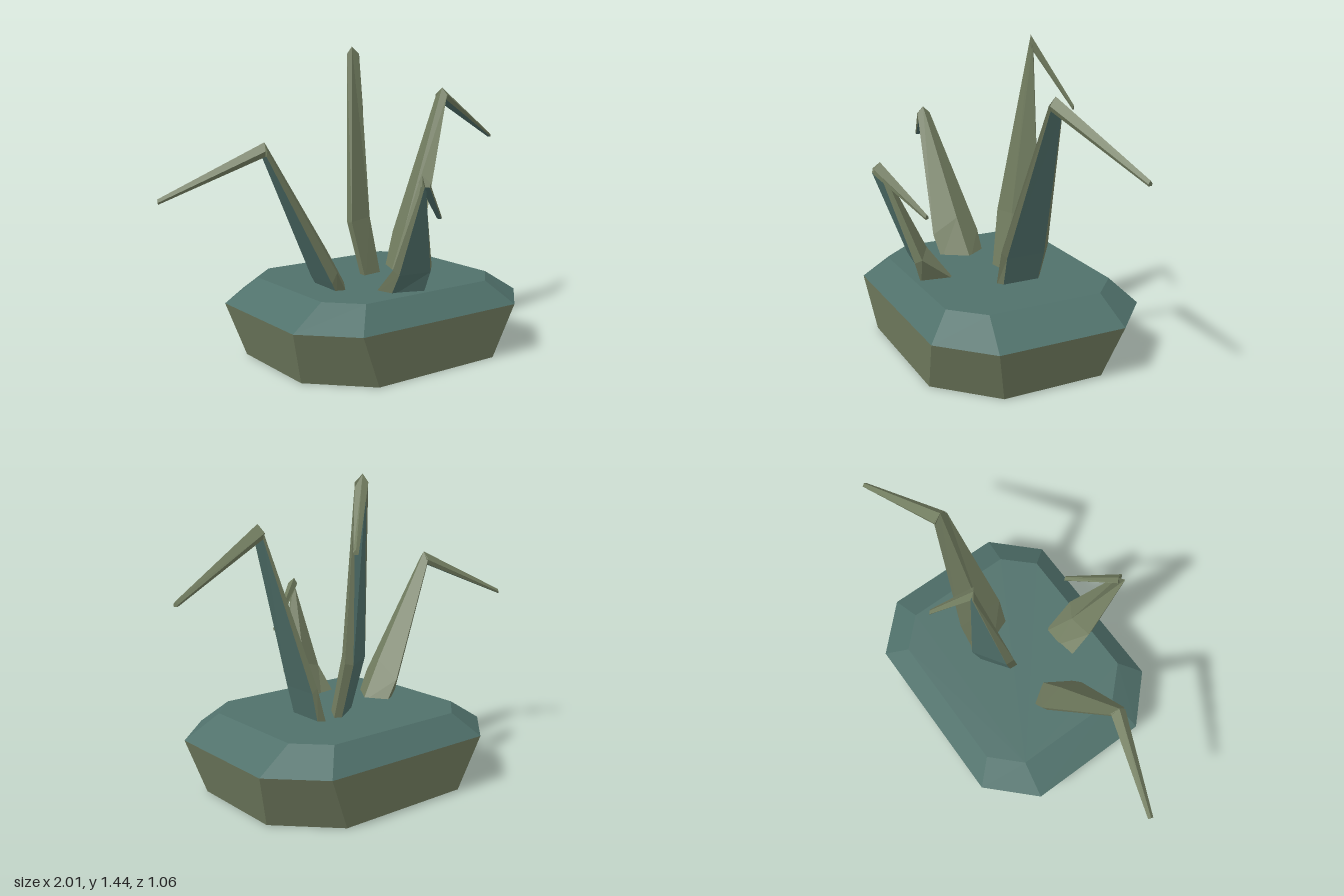
import * as THREE from 'three';

function makeMaterial(name, color) {
  const material = new THREE.MeshStandardMaterial({ color, flatShading: true });
  material.name = name;
  return material;
}
const OLIVE = 0, TEAL = 1, DARK = 2;
const materials = [
  makeMaterial('olive', 0x727d60),
  makeMaterial('teal', 0x50716b),
  makeMaterial('darkOlive', 0x495042),
];

// Joins rings of equal length; the side rule and the two caps choose a material index.
function loft(name, rings, sideMaterial, startCap, endCap) {
  const lists = materials.map(() => []);
  const n = rings[0].length;
  const tri = (m, a, b, c) => lists[m].push(...a, ...b, ...c);
  for (let k = 0; k < rings.length - 1; k++) {
    const a = rings[k], b = rings[k + 1];
    for (let i = 0; i < n; i++) {
      const j = (i + 1) % n, m = sideMaterial(i, k);
      tri(m, a[i], a[j], b[j]);
      tri(m, a[i], b[j], b[i]);
    }
  }
  const first = rings[0], last = rings[rings.length - 1];
  for (let i = 1; i < n - 1; i++) {
    tri(startCap, first[0], first[i + 1], first[i]);
    tri(endCap, last[0], last[i], last[i + 1]);
  }
  const geo = new THREE.BufferGeometry();
  geo.setAttribute('position', new THREE.Float32BufferAttribute(lists.flat(), 3));
  let start = 0;
  lists.forEach((list, m) => {
    if (list.length) geo.addGroup(start, list.length / 3, m);
    start += list.length / 3;
  });
  geo.computeVertexNormals();
  const mesh = new THREE.Mesh(geo, materials);
  mesh.name = name;
  return mesh;
}

// Rectangle with cut corners at height y
function octagon(y, x0, xa, xb, x1, z0, za, zb, z1) {
  return [[x0, za], [x0, zb], [xa, z1], [xb, z1], [x1, zb], [x1, za], [xb, z0], [xa, z0]]
    .map(([x, z]) => [x, y, z]);
}

// Five-sided section: ridge point, two side points along s, two points of the flat outer face along os
function section({ ridge, outer, w, s, os = s, k = 0.6 }) {
  const shift = (p, dir, d) => {
    const f = d / Math.hypot(...dir);
    return [p[0] + dir[0] * f, p[1], p[2] + dir[1] * f];
  };
  const mid = ridge.map((v, i) => v + (outer[i] - v) * k);
  return [ridge, shift(mid, s, w), shift(outer, os, 0.8 * w), shift(outer, os, -0.8 * w), shift(mid, s, -w)];
}

// A tapering leaf: upright stem and folded tip, with a teal outer face
function leaf(name, stem, end) {
  const group = new THREE.Group();
  group.name = name;
  const colour = (i) => (i === 2 ? TEAL : OLIVE);
  group.add(loft(name + 'Stem', stem.map(section), colour, OLIVE, OLIVE));
  const joint = stem[stem.length - 1];
  const s = [joint.ridge[2] - end[2], end[0] - joint.ridge[0]];
  const tip = [
    { ...joint, s },
    { ridge: end, outer: [end[0], end[1] - 0.022, end[2]], w: 0.012, s },
  ];
  group.add(loft(name + 'Tip', tip.map(section), colour, OLIVE, OLIVE));
  return group;
}

export function createModel() {
  const model = new THREE.Group();
  model.name = 'plantedBlock';

  // Faceted block with a bevelled top and a dark underside
  model.add(loft('base', [
    octagon(0, -0.5, -0.26, 0.405, 0.645, -0.495, -0.255, 0.225, 0.465),
    octagon(0.245, -0.575, -0.365, 0.51, 0.72, -0.53, -0.32, 0.285, 0.495),
    octagon(0.35, -0.41, -0.275, 0.42, 0.555, -0.43, -0.295, 0.25, 0.39),
  ], (i, k) => (k === 0 ? OLIVE : TEAL), DARK, TEAL));

  model.add(leaf('leftLeaf', [
    { ridge: [0.2, 0.33, -0.05], outer: [0.275, 0.33, -0.045], w: 0.11, s: [0, 1] },
    { ridge: [0.29, 0.56, -0.05], outer: [0.315, 0.485, -0.05], w: 0.118, s: [0, 1] },
    { ridge: [0.53, 1.24, -0.06], outer: [0.53, 1.18, -0.065], w: 0.037, s: [0.1, 1] },
  ], [1, 0.985, -0.2]));

  model.add(leaf('rightLeaf', [
    { ridge: [-0.12, 0.33, 0.02], outer: [-0.24, 0.33, 0.04], w: 0.11, s: [0.05, -1] },
    { ridge: [-0.24, 0.52, 0.04], outer: [-0.27, 0.385, 0.04], w: 0.118, s: [0.05, -1] },
    { ridge: [-0.575, 1.03, 0.075], outer: [-0.575, 0.97, 0.07], w: 0.033, s: [0.1, -1] },
  ], [-1, 0.81, -0.06]));

  model.add(leaf('frontLeaf', [
    { ridge: [-0.005, 0.33, 0.2], outer: [-0.005, 0.33, 0.33], w: 0.095, s: [-1, 0.1], os: [-0.9, -0.35], k: 0.05 },
    { ridge: [0.02, 0.49, 0.31], outer: [0, 0.44, 0.38], w: 0.1, s: [-0.97, -0.15] },
    { ridge: [-0.06, 0.895, 0.495], outer: [-0.06, 0.845, 0.515], w: 0.025, s: [-0.7, 0.6] },
  ], [0.155, 0.69, 0.36]));

  model.add(leaf('backLeaf', [
    { ridge: [0.13, 0.33, -0.04], outer: [0.095, 0.33, -0.11], w: 0.1, s: [0.82, -0.57] },
    { ridge: [0.1, 0.62, -0.09], outer: [0.06, 0.6, -0.165], w: 0.112, s: [0.84, -0.54] },
    { ridge: [0.07, 1.44, -0.195], outer: [0.085, 1.38, -0.2], w: 0.03, s: [0.85, 0.4] },
  ], [0.225, 1.135, -0.335]));

  return model;
}
